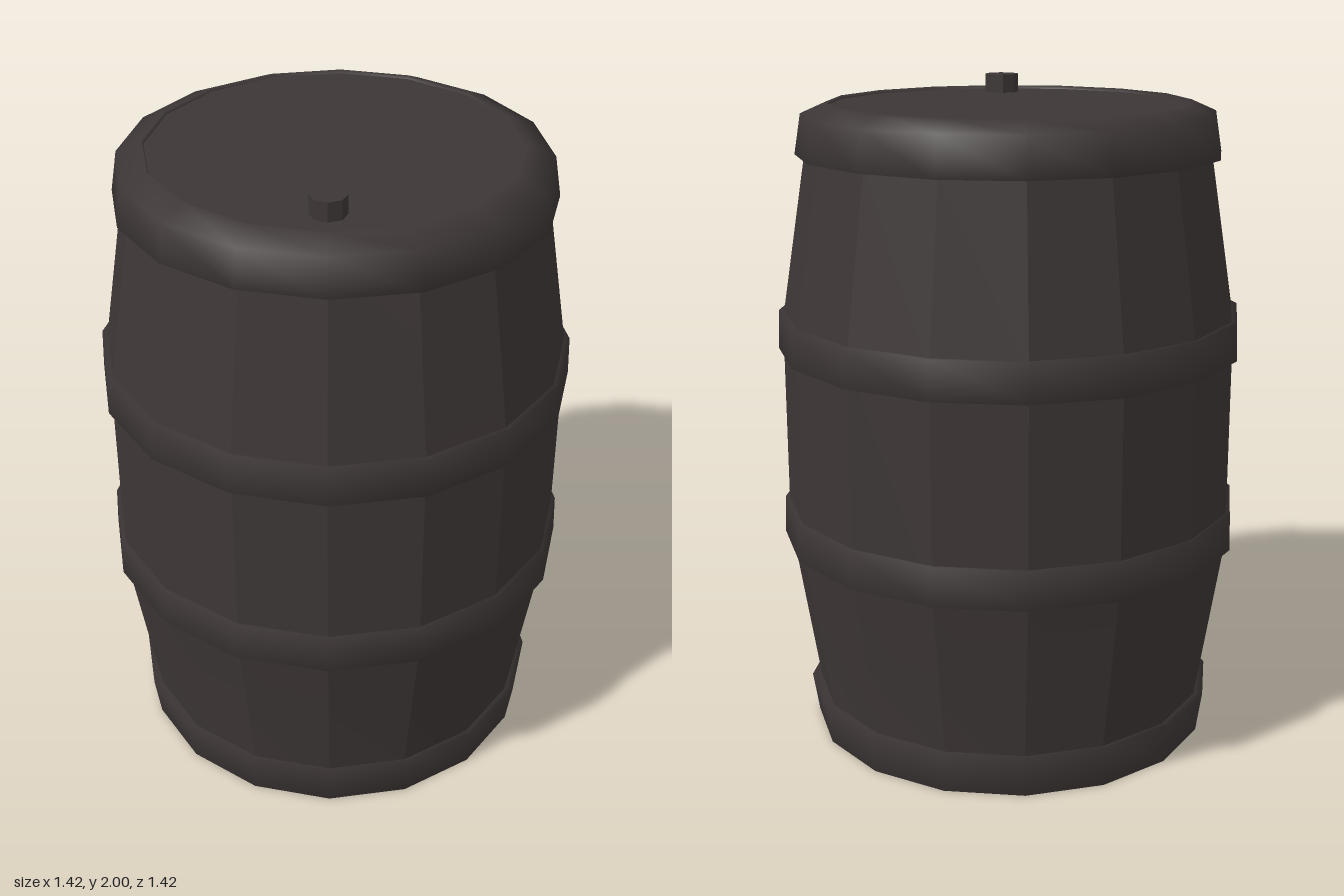
import * as THREE from 'three';
import { toCreasedNormals } from 'three/addons/utils/BufferGeometryUtils.js';

const SIDES = 16;

// Sixteen-sided solid of revolution from [radius, y] pairs, listed bottom to top
function turned(profile) {
  return new THREE.LatheGeometry(profile.map(([r, y]) => new THREE.Vector2(r, y)), SIDES);
}

export function createModel() {
  const group = new THREE.Group();
  const darkBrown = new THREE.MeshStandardMaterial({ color: 0x3d3636 });
  darkBrown.name = 'darkBrown';

  const add = (name, geometry) => {
    const mesh = new THREE.Mesh(geometry, darkBrown);
    mesh.name = name;
    group.add(mesh);
    return mesh;
  };

  // Faceted body with its base and lid
  const body = turned([
    [0, 0], [0.6, 0], [0.61, 0.12], [0.692, 0.64], [0.692, 1.3],
    [0.61, 1.81], [0.595, 1.9], [0.545, 1.943], [0, 1.943],
  ]);
  add('body', toCreasedNormals(body, 0.1));

  // Smooth middle hoops
  for (const [name, y] of [['lowerHoop', 0.617], ['upperHoop', 1.212]]) {
    add(name, turned([[0.67, y], [0.708, y], [0.704, y + 0.117], [0.67, y + 0.117]]));
  }

  // End hoops, tapering outward and slightly flattened front to back
  const ends = [
    ['bottomHoop', [[0.595, 0], [0.62, 0], [0.64, 0.123], [0.595, 0.123]]],
    ['topRim', [[0.59, 1.8], [0.64, 1.8], [0.62, 1.92], [0.545, 1.953], [0.54, 1.943]]],
  ];
  for (const [name, profile] of ends) {
    const hoop = turned(profile);
    const p = hoop.attributes.position;
    for (let i = 0; i < p.count; i++) {
      const r = Math.hypot(p.getX(i), p.getZ(i));
      if (r > 0.62) p.setZ(i, p.getZ(i) * 0.62 / r);
    }
    add(name, hoop);
  }

  // Small plug near the front of the lid
  const plug = new THREE.CylinderGeometry(0.052, 0.052, 0.08, 8);
  add('plug', toCreasedNormals(plug, 0.3)).position.set(-0.005, 1.96, 0.42);

  return group;
}
